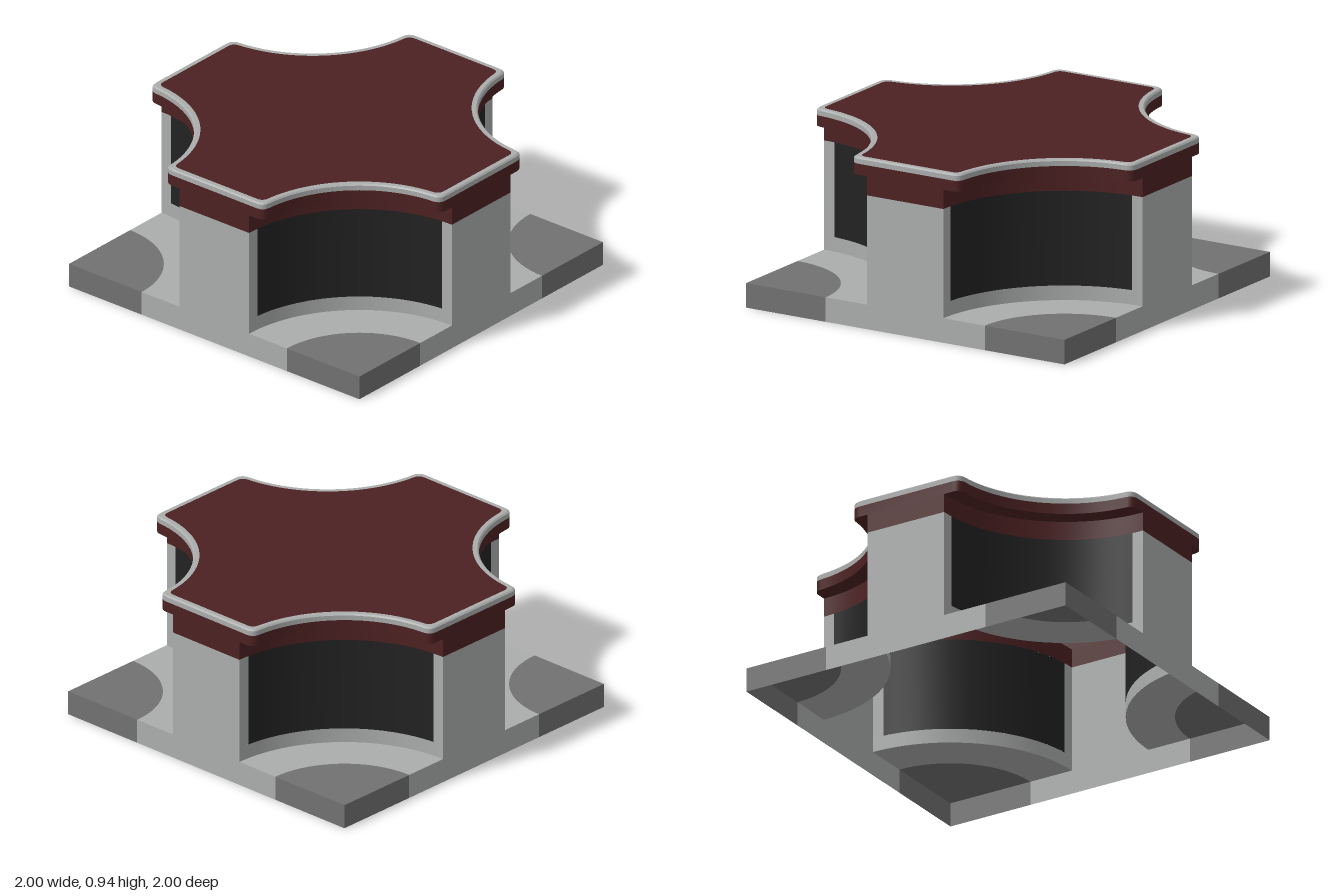
import * as THREE from 'three';
import { toCreasedNormals } from 'three/addons/utils/BufferGeometryUtils.js';

const SLAB = 0.135, PANEL = 0.215, BAND = 0.735, EAVE = 0.84, RIM = 0.9, TOP = 0.935;
const WALL_R = 0.76, PAD_R = 0.5;

function material(name, color) {
  const m = new THREE.MeshStandardMaterial({ color, side: THREE.DoubleSide });
  m.name = name;
  return m;
}

// Point on an arc about the corner (1, 1), as [x, z]
const arcPoint = (r, a) => [1 - r * Math.cos(a), 1 - r * Math.sin(a)];

function arc(r, a0, a1, n) {
  return Array.from({ length: n + 1 }, (_, i) => arcPoint(r, a0 + (a1 - a0) * i / n));
}

// Cross-shaped outline: hollow corners of radius r, arm ends at e, corner rounding c
function outline(r, e, c) {
  const a0 = Math.asin((1 - e) / r), cx = arcPoint(r, a0)[0], a1 = a0 + c / r;
  const [px, pz] = arcPoint(r, a1);
  const round = [];
  for (let i = 0; i < 6; i++) {
    const t = i / 6, u = 1 - t;
    round.push([u * u * (cx - c) + 2 * u * t * cx + t * t * px, u * u * e + 2 * u * t * e + t * t * pz]);
  }
  const mirrored = round.map(([x, z]) => [z, x]).reverse();
  let quarter = [...round, ...arc(r, a1, Math.PI / 2 - a1, 32), ...mirrored];
  const all = [];
  for (let k = 0; k < 4; k++) {
    all.push(...quarter);
    quarter = quarter.map(([x, z]) => [z, -x]);
  }
  all.push(all[0]);
  return all;
}

// Surface between a lower and an upper line of [x, z] points
function loft(low, y0, high, y1) {
  const pos = [], idx = [];
  low.forEach(([x, z], i) => {
    pos.push(x, y0, z, high[i][0], y1, high[i][1]);
    if (i) {
      const a = 2 * i - 2;
      idx.push(a, a + 2, a + 3, a, a + 3, a + 1);
    }
  });
  const g = new THREE.BufferGeometry();
  g.setAttribute('position', new THREE.Float32BufferAttribute(pos, 3));
  g.setIndex(idx);
  return toCreasedNormals(g, 0.5);
}
const curtain = (line, y0, y1) => loft(line, y0, line, y1);

export function createModel() {
  const stone = material('pale stone', 0xabadac);
  const paving = material('dark paving', 0x717171);
  const glass = material('black glazing', 0x222222);
  const red = material('dark red', 0x4d2122);

  const model = new THREE.Group();
  model.name = 'crossPavilion';
  const add = (parent, name, geometry, mat) => {
    const m = new THREE.Mesh(geometry, mat);
    m.name = name;
    parent.add(m);
    return m;
  };

  const arm = 1 - WALL_R, pad = 1 - PAD_R, H = Math.PI / 2, margin = 0.086;

  for (let k = 0; k < 4; k++) {
    const side = new THREE.Group();
    side.name = 'quarter' + (k + 1);
    side.rotation.y = k * H;
    model.add(side);

    // Arm end wall and the slab edge beside it
    add(side, 'armEndWall', curtain([[-arm, 1], [arm, 1]], 0, BAND), stone);
    add(side, 'armEndBand', curtain([[-arm, 1], [arm, 1]], BAND, EAVE), red);
    for (const s of [-1, 1]) {
      const span = (a, b) => (s > 0 ? [[a, 1], [b, 1]] : [[-b, 1], [-a, 1]]);
      add(side, 'slabEdge', curtain(span(arm, pad), 0, SLAB), stone);
      add(side, 'padEdge', curtain(span(pad, 1), 0, SLAB), paving);
    }

    // Corner floor: dark quarter disc inside a pale ring
    const disc = new THREE.CircleGeometry(PAD_R, 32, H, H).rotateX(-H).translate(1, SLAB, 1);
    add(side, 'cornerPad', disc, paving);
    const ring = new THREE.RingGeometry(PAD_R, WALL_R, 32, 1, H, H).rotateX(-H).translate(1, SLAB, 1);
    add(side, 'cornerFloor', ring, stone);

    // Hollow curved wall with glazing, side margins and red band
    add(side, 'curvedSill', curtain(arc(WALL_R, 0, H, 32), SLAB, PANEL), stone);
    add(side, 'curvedGlazing', curtain(arc(WALL_R, margin, H - margin, 32), PANEL, BAND), glass);
    add(side, 'glazingJamb', curtain(arc(WALL_R, 0, margin, 3), PANEL, BAND), stone);
    add(side, 'glazingJamb', curtain(arc(WALL_R, H - margin, H, 3), PANEL, BAND), stone);
    add(side, 'curvedBand', curtain(arc(WALL_R, 0, H, 32), BAND, EAVE), red);
  }

  // Overhanging roof with a pale softened rim
  const body = outline(WALL_R, 1, 0);
  const eave = outline(0.66, 1, 0.05);
  const lip = outline(0.668, 0.992, 0.05);
  const inner = outline(0.693, 0.967, 0.04);
  add(model, 'roofSoffit', loft(body, EAVE, eave, EAVE), red);
  add(model, 'roofFascia', curtain(eave, EAVE, RIM), red);
  add(model, 'roofRimSide', curtain(eave, RIM, TOP - 0.008), stone);
  add(model, 'roofRimBevel', loft(eave, TOP - 0.008, lip, TOP), stone);
  add(model, 'roofRimTop', loft(lip, TOP, inner, TOP), stone);
  const shape = new THREE.Shape(inner.slice(0, -1).map(([x, z]) => new THREE.Vector2(x, -z)));
  add(model, 'roofDeck', new THREE.ShapeGeometry(shape).rotateX(-H).translate(0, TOP, 0), red);

  return model;
}
